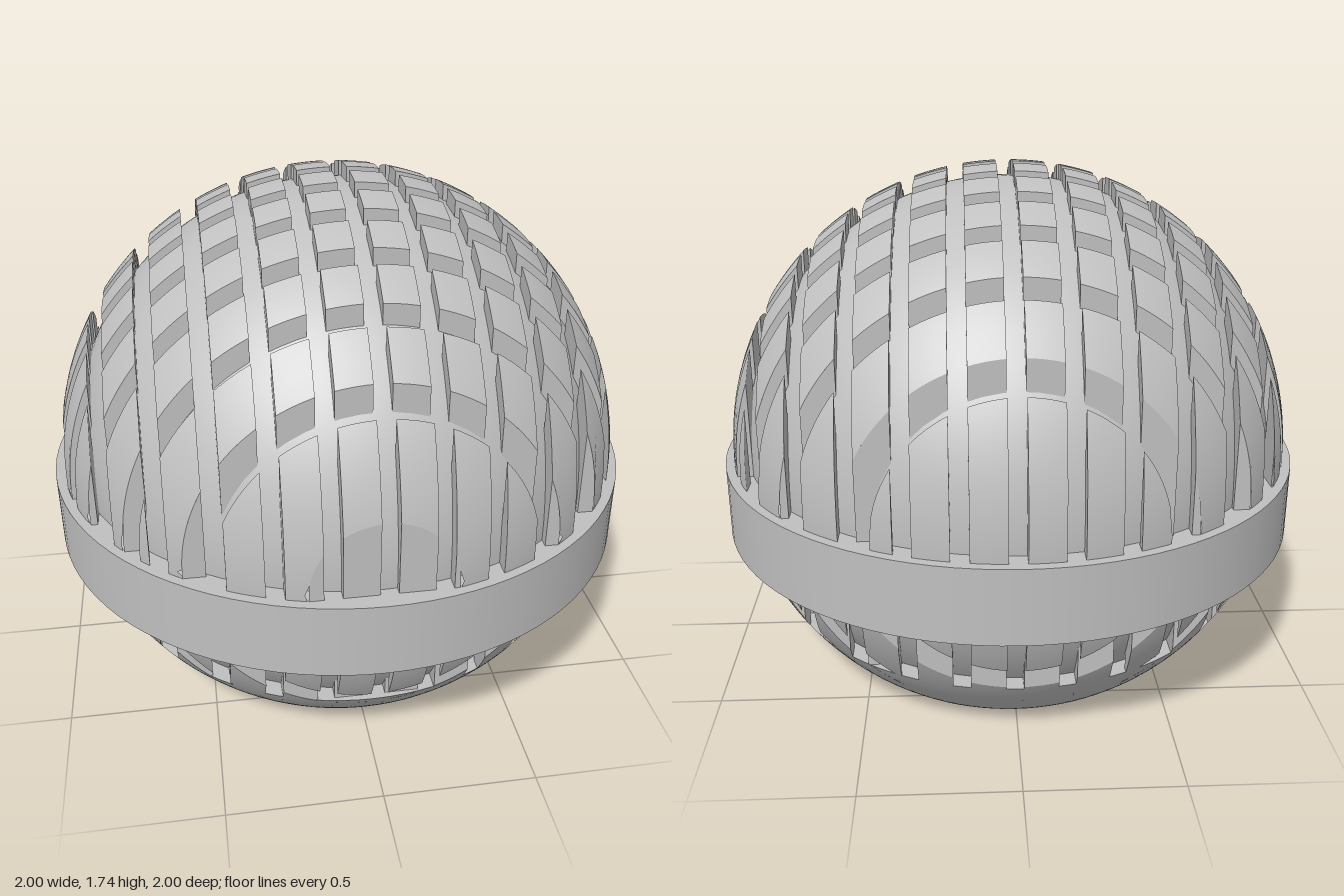
import * as THREE from 'three';

const R = 0.97;        // outer ball radius
const CORE = 0.92;     // groove floor radius
const CY = 0.77;       // ball centre height
const FLOOR = 0.225;   // grooves stop here
const PITCH = 0.1645, GROOVE = 0.055;
const OFF_X = 0.0135, OFF_Z = -0.0155;

const grey = new THREE.MeshStandardMaterial({ color: 0xc0c0c0 });
grey.name = 'grey';

const clampSin = (a, r) => Math.asin(Math.max(-1, Math.min(1, a / r)));
const root = (v) => Math.sqrt(Math.max(0, v));

// Collects quads of parametric patches, each turned to agree with its normal
class Patches {
  constructor() { this.pos = []; this.nor = []; }

  grid(nu, nv, point, normal) {
    const a = new THREE.Vector3(), b = new THREE.Vector3();
    const tri = (p, q, r) => {
      a.subVectors(q, p);
      b.subVectors(r, p);
      a.cross(b);
      if (a.lengthSq() < 1e-16) return;
      const list = a.dot(normal(p)) > 0 ? [p, q, r] : [p, r, q];
      for (const v of list) {
        this.pos.push(v.x, v.y, v.z);
        this.nor.push(...normal(v).toArray());
      }
    };
    for (let i = 0; i < nu; i++) {
      for (let j = 0; j < nv; j++) {
        const p = point(i / nu, j / nv), q = point((i + 1) / nu, j / nv);
        const r = point((i + 1) / nu, (j + 1) / nv), s = point(i / nu, (j + 1) / nv);
        tri(p, q, r);
        tri(p, r, s);
      }
    }
  }

  build() {
    const g = new THREE.BufferGeometry();
    g.setAttribute('position', new THREE.Float32BufferAttribute(this.pos, 3));
    g.setAttribute('normal', new THREE.Float32BufferAttribute(this.nor, 3));
    return g;
  }
}

// One raised block: a piece of the outer ball over a square cell, with walls down to the core
function addBlock(out, x0, x1, z0, z1, side) {
  const nearX = Math.min(Math.abs(x0), Math.abs(x1));
  const nearZ = Math.min(Math.abs(z0), Math.abs(z1));
  if (Math.hypot(nearX, nearZ) >= R - 0.002) return;
  const limX = root(R * R - nearZ * nearZ), limZ = root(R * R - nearX * nearX);

  // Curved face
  const t0 = clampSin(Math.max(x0, -limX), R), t1 = clampSin(Math.min(x1, limX), R);
  out.grid(8, 8, (u, v) => {
    const t = t0 + (t1 - t0) * u, rz = R * Math.cos(t);
    const f0 = clampSin(z0, rz), f1 = clampSin(z1, rz), f = f0 + (f1 - f0) * v;
    return new THREE.Vector3(R * Math.sin(t), CY + side * rz * Math.cos(f), rz * Math.sin(f));
  }, (p) => new THREE.Vector3(p.x, p.y - CY, p.z).normalize());

  // Flat walls: fixed is the wall's plane, a..b runs along it
  const wall = (fixed, a, b, dir, alongZ) => {
    const r = root(R * R - fixed * fixed);
    const f0 = clampSin(a, r), f1 = clampSin(b, r);
    const n = alongZ ? new THREE.Vector3(dir, 0, 0) : new THREE.Vector3(0, 0, dir);
    out.grid(12, 1, (u, v) => {
      const f = f0 + (f1 - f0) * u, s = r * Math.sin(f);
      const high = r * Math.cos(f), low = root((CORE - 0.005) ** 2 - fixed * fixed - s * s);
      const y = CY + side * (v ? high : low);
      return alongZ ? new THREE.Vector3(fixed, y, s) : new THREE.Vector3(s, y, fixed);
    }, () => n);
  };
  if (Math.abs(x0) < limX) wall(x0, z0, z1, -1, true);
  if (Math.abs(x1) < limX) wall(x1, z0, z1, 1, true);
  if (Math.abs(z0) < limZ) wall(z0, x0, x1, -1, false);
  if (Math.abs(z1) < limZ) wall(z1, x0, x1, 1, false);
}

function blocks(side) {
  const out = new Patches();
  const span = (off, k) => [off + k * PITCH + GROOVE / 2, off + (k + 1) * PITCH - GROOVE / 2];
  for (let i = -7; i < 7; i++) {
    for (let j = -7; j < 7; j++) {
      const [x0, x1] = span(OFF_X, i), [z0, z1] = span(OFF_Z, j);
      const far = Math.hypot(Math.max(-x0, x1), Math.max(-z0, z1));
      // Below, cells near the axis lie inside the solid base
      if (side < 0 && far < 0.74) continue;
      addBlock(out, x0, x1, z0, z1, side);
    }
  }
  return out.build();
}

// Points of a ball profile between two heights
function arc(radius, yFrom, yTo, n) {
  const a = clampSin(yFrom - CY, radius), b = clampSin(yTo - CY, radius);
  return Array.from({ length: n + 1 }, (_, i) => {
    const t = a + (b - a) * i / n;
    return [Math.max(0, radius * Math.cos(t)), CY + radius * Math.sin(t)];
  });
}

export function createModel() {
  const model = new THREE.Group();
  model.name = 'grilleBall';
  const add = (name, geometry) => {
    const mesh = new THREE.Mesh(geometry, grey);
    mesh.name = name;
    model.add(mesh);
  };
  const lathe = (name, pts) =>
    add(name, new THREE.LatheGeometry(pts.map(([x, y]) => new THREE.Vector2(x, y)), 96));

  // Raised grid on both halves, and the core beneath it
  add('upperBlocks', blocks(1));
  add('lowerBlocks', blocks(-1));
  lathe('core', arc(CORE, FLOOR, CY + CORE, 48));

  // Solid base with a round socket
  const lip = root(R * R - (FLOOR - CY) ** 2), foot = root(R * R - CY * CY);
  const socket = 0.257, depth = 0.75;
  lathe('base', arc(R, 0, FLOOR, 16));
  lathe('grooveFloor', [[lip, FLOOR], [0.73, FLOOR]]);
  lathe('baseUnderside', [[socket, 0], [foot, 0]]);
  lathe('socketWall', [[socket, depth], [socket, 0]]);
  lathe('socketEnd', [[0, depth], [socket, depth]]);

  // Belt around the middle
  const low = 0.505, high = 0.75;
  lathe('beltSide', [[1, low], [1, high]]);
  lathe('beltTop', [[1, high], [0.9, high]]);
  lathe('beltUnderside', [[0.86, low], [1, low]]);

  return model;
}
